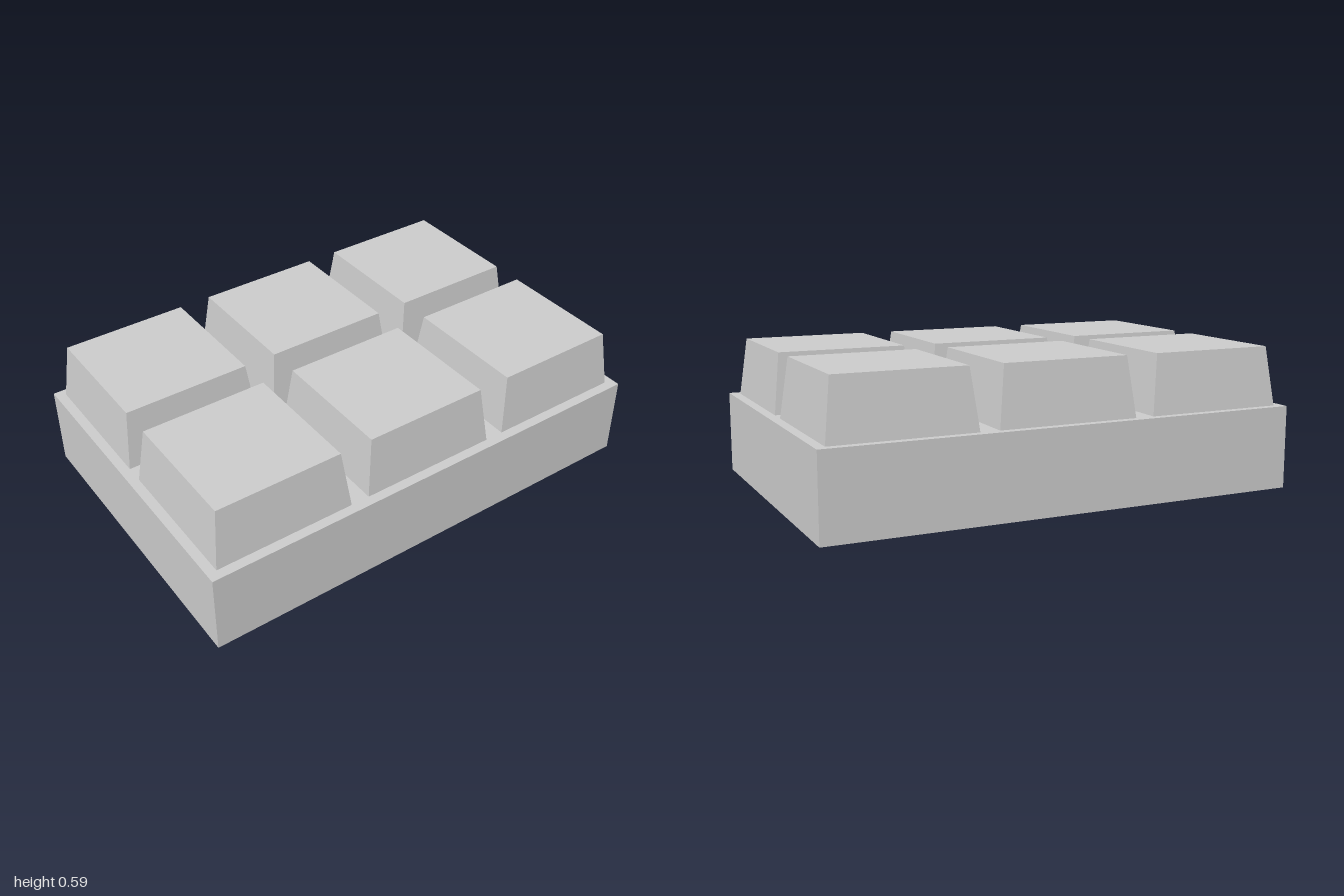
import * as THREE from 'three';

const BASE_HEIGHT = 0.345;
const BLOCK_HEIGHT = 0.245;

// Square block whose top face is smaller than its footprint
function taperedBlock(bottom, top, height) {
  const geometry = new THREE.BoxGeometry(bottom, height, bottom);
  const pos = geometry.attributes.position;
  for (let i = 0; i < pos.count; i++) {
    if (pos.getY(i) > 0) {
      pos.setX(i, pos.getX(i) * top / bottom);
      pos.setZ(i, pos.getZ(i) * top / bottom);
    }
  }
  geometry.computeVertexNormals();
  return geometry.translate(0, height / 2, 0);
}

export function createModel() {
  const model = new THREE.Group();
  model.name = 'segmentedBar';
  const material = new THREE.MeshStandardMaterial({ color: 0xcccccc, flatShading: true });

  // Slab
  const base = new THREE.Mesh(new THREE.BoxGeometry(1.325, BASE_HEIGHT, 2), material);
  base.name = 'base';
  base.position.y = BASE_HEIGHT / 2;
  model.add(base);

  // Two columns of three raised segments
  const blockGeometry = taperedBlock(0.587, 0.528, BLOCK_HEIGHT);
  const blocks = new THREE.Group();
  blocks.name = 'raisedSegments';
  for (const x of [-0.335, 0.328]) {
    for (const z of [-0.667, 0, 0.666]) {
      const block = new THREE.Mesh(blockGeometry, material);
      block.name = 'raisedSegment';
      block.position.set(x, BASE_HEIGHT, z);
      blocks.add(block);
    }
  }
  model.add(blocks);
  return model;
}
